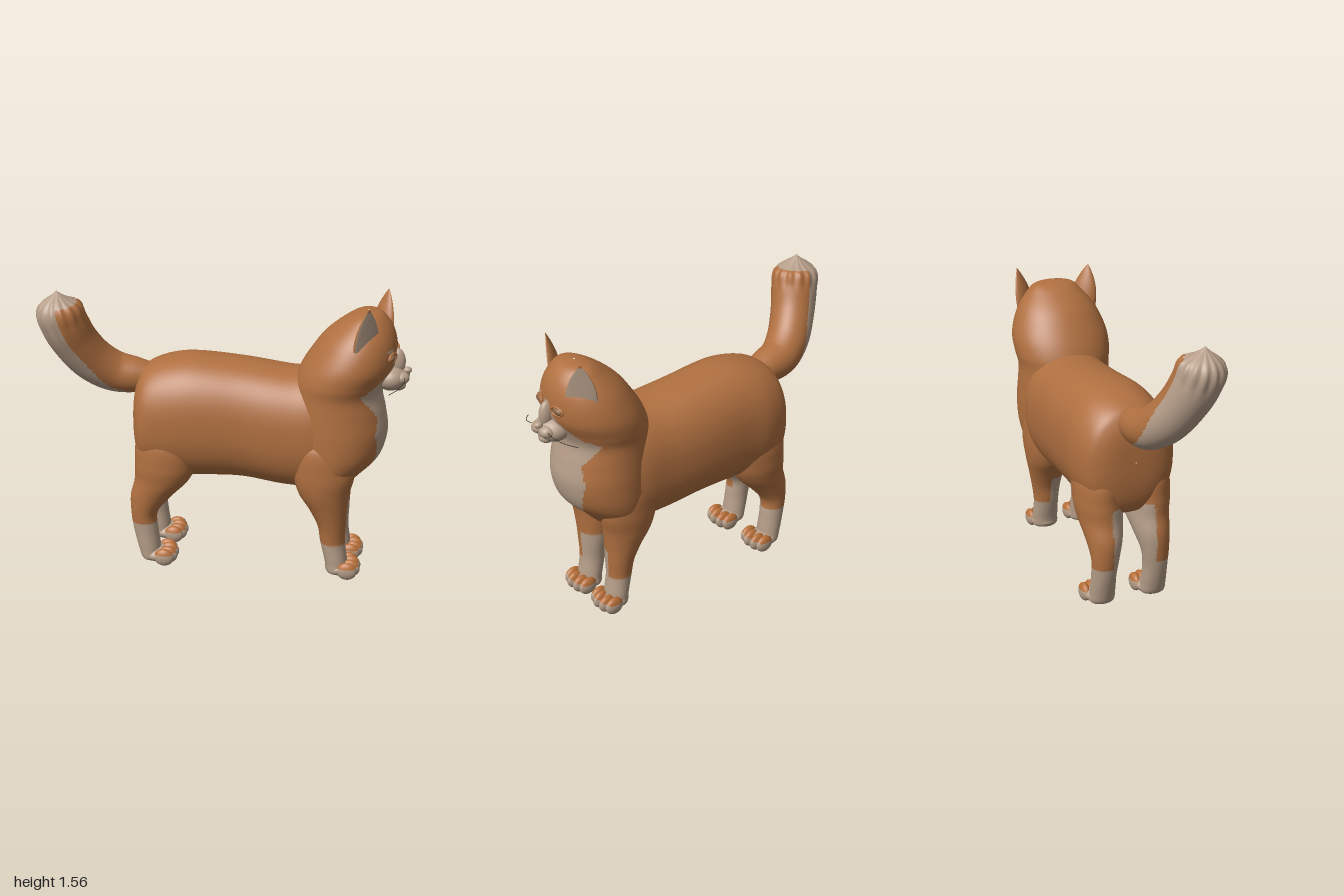
import * as THREE from 'three';

const mat = (name, color) => Object.assign(new THREE.MeshStandardMaterial({ color }), { name });
const fur = mat('ginger fur', 0xb07040);
const cream = mat('cream fur', 0xb59d88);
const toeFur = mat('bright ginger toes', 0xb86f38);
const eyeBrown = mat('eye brown', 0x8a6444);
const whiskerDark = mat('whisker dark', 0x3a2c22);
const PALETTE = [fur, cream, toeFur, eyeBrown, whiskerDark];
const FUR = 0, CREAM = 1, TOE = 2, EYE = 3;

// Catmull-Rom through rows of numbers, u from 0 to 1
function spline(rows, u) {
  const n = rows.length - 1, f = Math.min(u * n, n - 1e-6), i = Math.floor(f), t = f - i;
  const at = k => rows[Math.max(0, Math.min(n, k))];
  return rows[0].map((_, c) => {
    const a = at(i - 1)[c], b = at(i)[c], d = at(i + 1)[c], e = at(i + 2)[c];
    return b + 0.5 * t * (d - a + t * (2 * a - 5 * b + 4 * d - e + t * (3 * (b - d) + e - a)));
  });
}

// Straight-line lookup in [key, value] pairs
function lookup(table, key) {
  for (let i = 1; i < table.length; i++) {
    const [k0, v0] = table[i - 1], [k1, v1] = table[i];
    if (key >= k0 && key <= k1) return v0 + (v1 - v0) * (key - k0) / (k1 - k0);
  }
  return 0;
}

// Skin of rings point(u, angle); colour(p, u, angle) picks a palette index per face
function skin(name, point, colour, nu = 48, nv = 48) {
  const pos = [], faces = PALETTE.map(() => []);
  const pts = [];
  for (let i = 0; i <= nu; i++) for (let j = 0; j < nv; j++) {
    const p = point(i / nu, j / nv * Math.PI * 2);
    pts.push(p); pos.push(p.x, p.y, p.z);
  }
  let volume = 0;
  const tri = new THREE.Vector3();
  for (let i = 0; i < nu; i++) for (let j = 0; j < nv; j++) {
    const a = i * nv + j, b = i * nv + (j + 1) % nv, c = a + nv, d = b + nv;
    for (const [k, l, m] of [[a, b, c], [b, d, c]]) {
      volume += tri.crossVectors(pts[l], pts[m]).dot(pts[k]);
      const mid = pts[k].clone().add(pts[l]).add(pts[m]).divideScalar(3);
      faces[colour(mid, (i + 0.5) / nu, (j + 0.5) / nv * Math.PI * 2)].push([k, l, m]);
    }
  }
  const g = new THREE.BufferGeometry(), index = [];
  faces.forEach((list, m) => {
    if (!list.length) return;
    g.addGroup(index.length, list.length * 3, m);
    for (const [k, l, n] of list) index.push(...(volume > 0 ? [k, l, n] : [k, n, l]));
  });
  g.setAttribute('position', new THREE.Float32BufferAttribute(pos, 3));
  g.setIndex(index);
  g.computeVertexNormals();
  const mesh = new THREE.Mesh(g, PALETTE);
  mesh.name = name;
  return mesh;
}

// Loft over rows [x, y, z, r, rz], rings upright (axis x) or level (axis y)
function loft(name, rows, axis, colour, e = 1, nu = 64, nv = 64) {
  const pw = v => Math.sign(v) * Math.abs(v) ** e;
  return skin(name, (u, v) => {
    const [x, y, z, r, rz] = spline(rows, u);
    const c = pw(Math.cos(v)) * r, s = pw(Math.sin(v)) * rz;
    return axis === 'x' ? new THREE.Vector3(x, y + c, z + s) : new THREE.Vector3(x + c, y, z + s);
  }, colour, nu, nv);
}

function ellipsoid(name, [x, y, z], [rx, ry, rz], colour) {
  return skin(name, (u, v) => {
    const s = Math.sin(Math.PI * u);
    return new THREE.Vector3(x + rx * s * Math.cos(v), y - ry * Math.cos(Math.PI * u), z + rz * s * Math.sin(v));
  }, typeof colour === 'function' ? colour : () => colour, 18, 24);
}

export function createModel() {
  const cat = new THREE.Group();
  cat.name = 'cat';

  // Barrel of the body
  cat.add(loft('body', [
    [-0.50, 0.84, -0.02, 0.005, 0.005], [-0.495, 0.84, -0.02, 0.14, 0.12], [-0.47, 0.83, -0.02, 0.24, 0.20],
    [-0.42, 0.83, -0.02, 0.30, 0.25], [-0.30, 0.84, -0.025, 0.335, 0.275], [-0.15, 0.85, -0.02, 0.342, 0.275],
    [0.10, 0.845, -0.02, 0.33, 0.268], [0.35, 0.82, 0, 0.33, 0.265], [0.55, 0.82, 0.01, 0.32, 0.25],
    [0.75, 0.82, 0.02, 0.2, 0.16], [0.80, 0.82, 0.02, 0.005, 0.005],
  ], 'x', () => FUR, 0.87));

  // Chest, neck and head as one mass, with a cream bib and face blaze
  const bib = [[0.45, 0], [0.5, 0.02], [0.6, 0.055], [0.7, 0.12], [0.85, 0.165], [0.95, 0.135],
    [1.02, 0.18], [1.08, 0.22], [1.12, 0.15], [1.18, 0.10], [1.24, 0.035], [1.3, 0.02], [1.31, 0]];
  const trunk = [ // y, back x, front x, half width
    [0.45, 0.55, 0.56, 0.005], [0.5, 0.45, 0.66, 0.16], [0.6, 0.40, 0.76, 0.24], [0.7, 0.38, 0.85, 0.265],
    [0.83, 0.36, 0.885, 0.27], [0.95, 0.36, 0.87, 0.265], [1.05, 0.37, 0.85, 0.262], [1.12, 0.385, 0.87, 0.275],
    [1.2, 0.42, 0.91, 0.278], [1.28, 0.47, 0.92, 0.258], [1.36, 0.53, 0.91, 0.22], [1.43, 0.61, 0.88, 0.165],
    [1.48, 0.69, 0.83, 0.11], [1.495, 0.755, 0.765, 0.005],
  ].map(([y, b, f, w]) => [(b + f) / 2, y, 0.025, (f - b) / 2, w]);
  cat.add(loft('chestAndHead', trunk, 'y', p => {
    const browSpot = p.y > 1.295 && p.y < 1.32 && Math.abs(p.z - 0.15) < 0.025;
    const inBib = Math.abs(p.z - (p.y > 1.1 ? 0.055 : 0.03)) < lookup(bib, p.y);
    return p.x > 0.62 && (inBib || browSpot) ? CREAM : FUR;
  }, 1, 110, 110));

  // Muzzle, nose and eyes
  const faceZ = 0.056;
  cat.add(ellipsoid('muzzle', [0.89, 1.14, faceZ], [0.085, 0.07, 0.1], CREAM));
  cat.add(ellipsoid('chin', [0.932, 1.098, faceZ], [0.04, 0.03, 0.042], CREAM));
  cat.add(ellipsoid('noseBridge', [0.92, 1.225, faceZ], [0.045, 0.075, 0.033], CREAM));
  cat.add(ellipsoid('nose', [0.975, 1.182, faceZ], [0.025, 0.018, 0.023], CREAM));
  for (const s of [1, -1]) {
    cat.add(ellipsoid('whiskerPad', [0.944, 1.148, faceZ + s * 0.034], [0.046, 0.035, 0.043], CREAM));
    const ez = faceZ + s * 0.084, ex = s > 0 ? 0.893 : 0.91, turn = s > 0 ? 0.4 : -0.2;
    cat.add(ellipsoid('eye', [ex, 1.272, ez], [0.02, 0.021, 0.036], EYE));
    const lid = new THREE.Mesh(new THREE.TorusGeometry(0.038, 0.008, 8, 28), fur);
    lid.name = 'eyelid';
    lid.scale.set(1, 0.62, 1);
    lid.position.set(ex + 0.006, 1.272, ez);
    lid.rotation.y = Math.PI / 2 - turn;
    cat.add(lid);
    const hair = new THREE.CatmullRomCurve3([[0.965, 1.16, 0.06], [0.965, 1.15, 0.11], [0.935, 1.13, 0.17],
      [0.89, 1.115, 0.22]].map(([x, y, z]) => new THREE.Vector3(x, y, faceZ + s * z)));
    const whisker = new THREE.Mesh(new THREE.TubeGeometry(hair, 16, 0.002, 5), whiskerDark);
    whisker.name = 'whisker';
    cat.add(whisker);
  }

  // Ears: flattened cups turned forward and outward
  const ear = (name, base, tip, nx, nz) => {
    const b = new THREE.Vector3(...base), t = new THREE.Vector3(...tip);
    const out = new THREE.Vector3(nx, 0, nz).normalize(), side = new THREE.Vector3(out.z, 0, -out.x);
    return skin(name, (u, v) => {
      const w = 0.082 * (1 - u ** 2.2) + 0.001, s = Math.sin(v);
      const d = s > 0 ? 0.012 * s * (1 - u) : 0.045 * s * (1 - u * u);
      return b.clone().lerp(t, u).addScaledVector(side, w * Math.cos(v)).addScaledVector(out, d);
    }, (p, u, v) => (Math.sin(v) > 0.12 && u < 0.94 ? CREAM : FUR), 28, 40);
  };
  cat.add(ear('leftEar', [0.765, 1.33, 0.208], [0.775, 1.56, 0.25], 0.7, 0.7));
  cat.add(ear('rightEar', [0.83, 1.33, -0.125], [0.855, 1.56, -0.16], 0.75, -0.66));

  // Legs: rows are x, y, sideways offset, half depth, half width
  const frontRows = [[0.64, 0.015, 0.12, 0.005, 0.005], [0.64, 0.03, 0.12, 0.055, 0.07], [0.635, 0.09, 0.12, 0.062, 0.075],
    [0.615, 0.2, 0.12, 0.068, 0.073], [0.607, 0.3, 0.122, 0.078, 0.085], [0.585, 0.4, 0.127, 0.104, 0.102],
    [0.56, 0.5, 0.135, 0.14, 0.118], [0.56, 0.62, 0.15, 0.165, 0.115], [0.56, 0.78, 0.15, 0.15, 0.1],
    [0.56, 0.88, 0.14, 0.005, 0.005]];
  const rearRows = [[-0.4, 0.015, 0.15, 0.005, 0.005], [-0.4, 0.03, 0.15, 0.05, 0.065], [-0.41, 0.09, 0.15, 0.062, 0.07],
    [-0.43, 0.2, 0.15, 0.068, 0.068], [-0.438, 0.3, 0.145, 0.074, 0.077], [-0.4, 0.4, 0.138, 0.114, 0.098],
    [-0.34, 0.5, 0.135, 0.15, 0.118], [-0.315, 0.6, 0.14, 0.17, 0.125], [-0.3, 0.75, 0.14, 0.165, 0.11],
    [-0.3, 0.9, 0.14, 0.005, 0.005]];
  const leg = (name, rows, s, midZ, pawX, isFront) => {
    const g = new THREE.Group();
    g.name = name;
    const z0 = midZ + s * rows[2][2];
    g.add(loft('limb', rows.map(([x, y, o, r, w]) => [x, y, midZ + s * o, r, w]), 'y', p => {
      const inner = (z0 - p.z) * s;
      const sock = isFront ? p.y < 0.2 || (p.y < 0.37 && inner > 0.0)
        : p.y < 0.25 || (p.y < 0.58 && inner > 0.025);
      return sock ? CREAM : FUR;
    }, 1, 70, 40));
    g.add(ellipsoid('paw', [pawX, 0.052, z0], [0.085, 0.044, 0.083], CREAM));
    for (const [dx, dz] of [[0.055, -0.026], [0.055, 0.026], [0.04, -0.067], [0.04, 0.067]]) {
      g.add(ellipsoid('toe', [pawX + dx, 0.055, z0 + dz], [0.055, 0.05, 0.028],
        p => (p.y > 0.07 && p.x < pawX + dx + 0.045 ? TOE : CREAM)));
    }
    return g;
  };
  for (const s of [1, -1]) {
    const side = s > 0 ? 'left' : 'right';
    cat.add(leg(side + 'FrontLeg', frontRows, s, 0.025, 0.66, true));
    cat.add(leg(side + 'RearLeg', rearRows, s, -0.022, -0.36, false));
  }

  // Tail: raised brush with a cream underside and a ridged tip
  const path = new THREE.CatmullRomCurve3([[-0.36, 1.04, -0.02], [-0.5, 1.052, -0.015], [-0.62, 1.075, 0],
    [-0.72, 1.145, 0.04], [-0.8, 1.26, 0.095], [-0.85, 1.38, 0.14], [-0.875, 1.48, 0.16], [-0.88, 1.565, 0.165],
  ].map(p => new THREE.Vector3(...p)));
  const girth = [[0.07], [0.098], [0.112], [0.12], [0.124], [0.128], [0.112], [0.002]];
  cat.add(skin('tail', (u, v) => {
    const p = path.getPoint(u), t = path.getTangent(u);
    const side = new THREE.Vector3(0, 0, 1).addScaledVector(t, -t.z).normalize();
    const under = new THREE.Vector3().crossVectors(side, t);
    const ridge = 1 + 0.05 * THREE.MathUtils.smoothstep(u, 0.66, 0.85) * Math.sin(14 * v);
    const r = Math.max(0.002, spline(girth, u)[0]) * ridge;
    return p.addScaledVector(under, r * Math.cos(v)).addScaledVector(side, r * Math.sin(v));
  }, (p, u, v) => {
    const limit = u > 0.88 ? -2 : 0.85 - 0.95 * THREE.MathUtils.smoothstep(u, 0.1, 0.55);
    return Math.cos(v) > limit ? CREAM : FUR;
  }, 64, 84));

  return cat;
}
